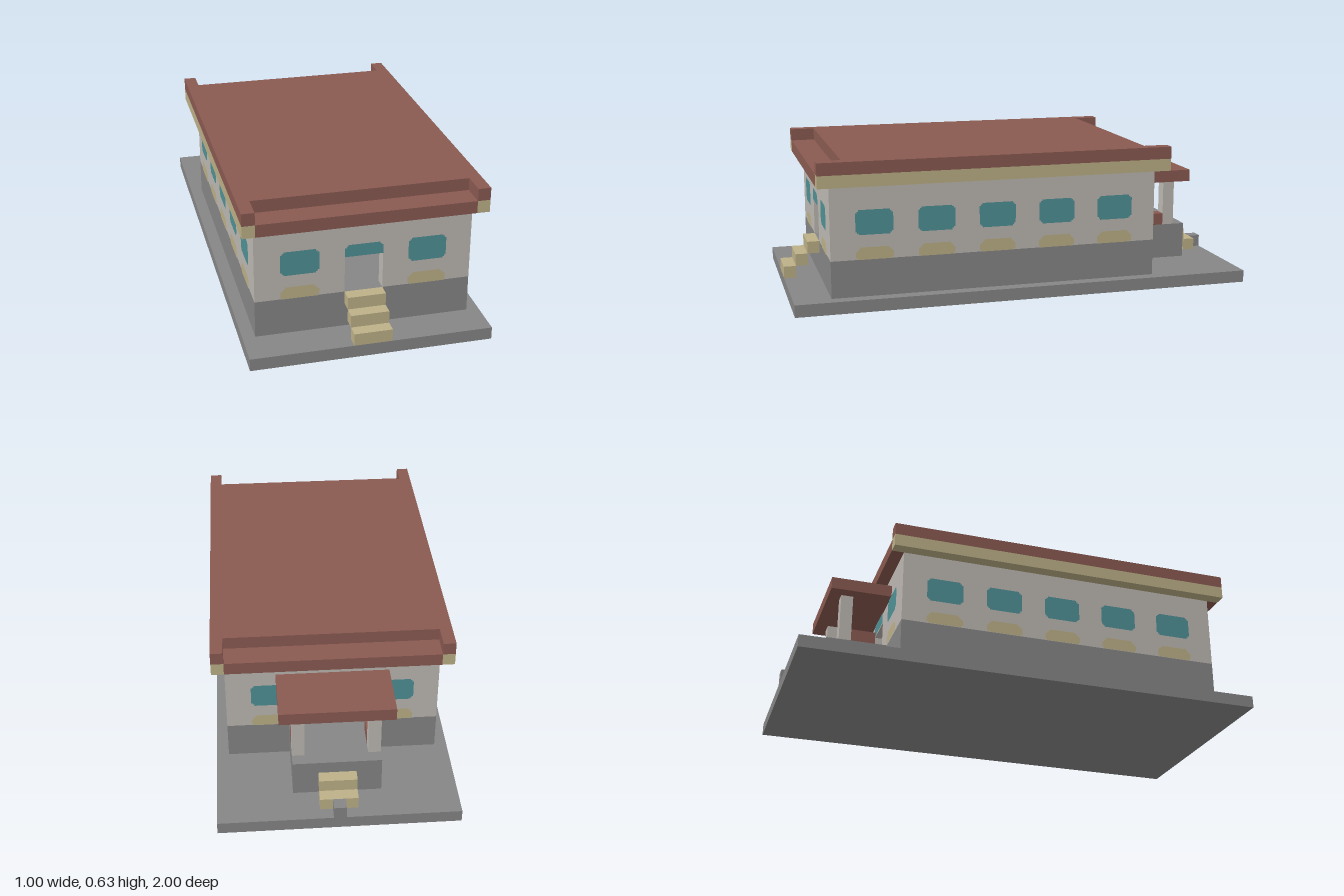
import * as THREE from 'three';

// All sizes are counted in blocks; the plot is 19 x 38 blocks.
const U = 1 / 19;

export function createModel() {
  const mat = (name, color) => {
    const m = new THREE.MeshStandardMaterial({ color });
    m.name = name;
    return m;
  };
  const stone = mat('grey stone', 0x868686);
  const plaster = mat('pale plaster', 0xbdb8b2);
  const red = mat('roof red', 0x8a5a51);
  const sand = mat('sand trim', 0xbdb188);
  const glass = mat('teal glass', 0x4f9196);

  const model = new THREE.Group();
  model.name = 'stationHouse';

  const add = (name, geometry, material, parent = model) => {
    const mesh = new THREE.Mesh(geometry, material);
    mesh.name = name;
    parent.add(mesh);
    return mesh;
  };
  // Box from its limits, in blocks
  const box = (name, material, [x0, x1], [y0, y1], [z0, z1], parent) => {
    const g = new THREE.BoxGeometry((x1 - x0) * U, (y1 - y0) * U, (z1 - z0) * U);
    g.translate((x0 + x1) / 2 * U, (y0 + y1) / 2 * U, (z0 + z1) / 2 * U);
    return add(name, g, material, parent);
  };

  // Plot, foundation and porch floor
  box('plot', stone, [-9.5, 9.5], [0, 1], [-19, 19]);
  box('foundation', stone, [-8.5, 8.5], [1, 4], [-11, 16]);
  box('porchBase', stone, [-3.5, 3.5], [1, 4], [-16, -11]);

  // End walls with a doorway, and the side walls between them
  const endWall = new THREE.Shape([
    [-8.5, 4], [-1.5, 4], [-1.5, 7], [1.5, 7], [1.5, 4], [8.5, 4], [8.5, 10], [-8.5, 10],
  ].map(([x, y]) => new THREE.Vector2(x * U, y * U)));
  const endGeometry = new THREE.ExtrudeGeometry(endWall, { depth: U, bevelEnabled: false });
  add('frontWall', endGeometry, plaster).position.z = 15 * U;
  add('backWall', endGeometry, plaster).position.z = -11 * U;
  for (const s of [-1, 1]) {
    box('sideWall', plaster, s < 0 ? [-8.5, -7.5] : [7.5, 8.5], [4, 10], [-10, 15]);
  }

  // Painted panel with stepped corners; bottom corners may stay square
  const panelGeometry = (w, h, steps, bottomSteps) => {
    const d = 0.125, pts = [];
    const corner = (sx, y, sy, n, inward) => {
      const c = [];
      for (let i = 0; i <= n; i++) {
        c.push([sx * (w / 2 - i * d), y - sy * (n - i) * d]);
        if (i < n) c.push([sx * (w / 2 - (i + 1) * d), y - sy * (n - i) * d]);
      }
      pts.push(...(inward ? c : c.reverse()));
    };
    corner(1, 0, -1, bottomSteps, false);
    corner(1, h, 1, steps, true);
    corner(-1, h, 1, steps, false);
    corner(-1, 0, -1, bottomSteps, true);
    return new THREE.ShapeGeometry(new THREE.Shape(pts.map(([x, y]) => new THREE.Vector2(x * U, y * U))));
  };
  const windowGeo = panelGeometry(3, 2, 2, 2);
  const sillGeo = panelGeometry(3, 1, 3, 1);
  const transomGeo = panelGeometry(3, 1, 2, 0);
  const panel = (name, geometry, material, x, y, z, turn) => {
    const m = add(name, geometry, material);
    m.position.set(x * U, y * U, z * U);
    m.rotation.y = turn;
  };
  const windowPair = (x, z, turn) => {
    panel('window', windowGeo, glass, x, 6, z, turn);
    panel('windowPlanter', sillGeo, sand, x, 4, z, turn);
  };
  const gap = 0.05;
  for (const s of [-1, 1]) {
    for (const z of [-7.5, -2.5, 2.5, 7.5, 12.5]) windowPair(s * (8.5 + gap), z, s * Math.PI / 2);
    windowPair(s * 5, 16 + gap, 0);
    windowPair(s * 5, -11 - gap, Math.PI);
  }
  panel('frontTransom', transomGeo, glass, 0, 7, 16 + gap, 0);
  panel('backTransom', transomGeo, glass, 0, 7, -11 - gap, Math.PI);

  // Roof: lower slab, sand eaves, raised slab with side strips past its ends
  const roof = new THREE.Group();
  roof.name = 'roof';
  model.add(roof);
  box('lowerRoof', red, [-8.5, 8.5], [10, 11], [-12, 17], roof);
  box('upperRoof', red, [-8.5, 8.5], [11, 12], [-10, 15], roof);
  for (const x of [[-9.5, -8.5], [8.5, 9.5]]) {
    box('eave', sand, x, [10, 11], [-12, 17], roof);
    box('roofEdge', red, x, [11, 12], [-12, 17], roof);
  }

  // Back porch: canopy, posts and benches
  const porch = new THREE.Group();
  porch.name = 'porch';
  model.add(porch);
  box('porchRoof', red, [-4.5, 4.5], [8, 9], [-16, -11], porch);
  for (const x of [[-3.5, -2.5], [2.5, 3.5]]) {
    box('porchPost', plaster, x, [4, 8], [-15, -14], porch);
    box('bench', red, x, [4, 5], [-14, -12], porch);
  }

  // Steps at both doors, and the block at the foot of the back steps
  for (let i = 0; i < 3; i++) box('frontStep', sand, [-1.5, 1.5], [3 - i, 4 - i], [16 + i, 17 + i]);
  for (let i = 0; i < 2; i++) box('backStep', sand, [-1.5, 1.5], [2 - i, 3 - i], [-17 - i, -16 - i]);
  box('footBlock', stone, [-0.5, 0.5], [1, 2], [-19, -18]);

  return model;
}
